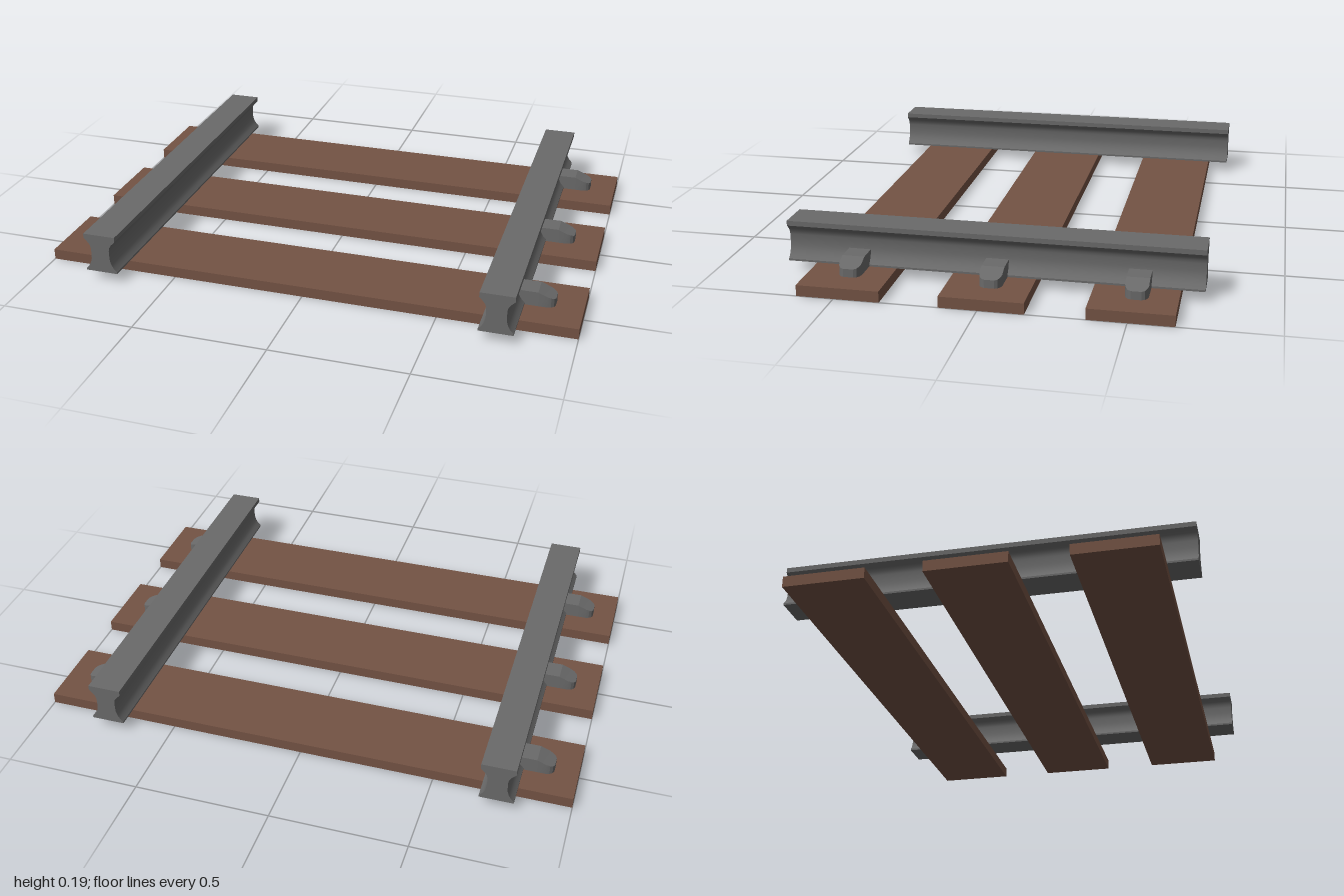
import * as THREE from 'three';
import { toCreasedNormals } from 'three/addons/utils/BufferGeometryUtils.js';

const wood = new THREE.MeshStandardMaterial({ color: 0x745344 });
const steel = new THREE.MeshStandardMaterial({ color: 0x6a6a6a });

function add(parent, name, geometry, material, x, y, z) {
  const mesh = new THREE.Mesh(geometry, material);
  mesh.name = name;
  mesh.position.set(x, y, z);
  parent.add(mesh);
  return mesh;
}

// Rail section: square head, waisted web and flared foot, run along z
function railGeometry(length) {
  const half = [
    [0.062, 0.04], [0.062, 0.047], [0.05, 0.06], [0.042, 0.074], [0.037, 0.09], [0.036, 0.105],
    [0.036, 0.132], [0.039, 0.145], [0.047, 0.157], [0.062, 0.172], [0.062, 0.19],
  ];
  const outline = [...half, ...half.map(([x, y]) => [-x, y]).reverse()];
  const shape = new THREE.Shape(outline.map(([x, y]) => new THREE.Vector2(x, y)));
  const geometry = new THREE.ExtrudeGeometry(shape, { depth: length, bevelEnabled: false });
  geometry.translate(0, 0, -length / 2);
  return toCreasedNormals(geometry, 0.6);
}

// Clip pointing along +x: flat top, then a slope down to a rounded nose
function clipGeometry() {
  // distance from the rail's centre, half width, height
  const sections = [
    [0.02, 0.04, 0.055], [0.108, 0.04, 0.055], [0.142, 0.04, 0.041], [0.155, 0.036, 0.036],
    [0.165, 0.029, 0.032], [0.17, 0.018, 0.03],
  ];
  const n = sections.length - 1;
  const geometry = new THREE.BoxGeometry(1, 1, 1, n, 1, 1);
  const p = geometry.attributes.position;
  for (let i = 0; i < p.count; i++) {
    const [x, halfWidth, height] = sections[Math.round((p.getX(i) + 0.5) * n)];
    p.setXYZ(i, x, p.getY(i) > 0 ? height : 0, Math.sign(p.getZ(i)) * halfWidth);
  }
  return toCreasedNormals(geometry, 0.3);
}

export function createModel() {
  const track = new THREE.Group();
  track.name = 'railwayTrack';

  // Sleepers
  const sleeper = new THREE.BoxGeometry(2, 0.04, 0.293);
  const rows = [-0.51, -0.013, 0.485];
  rows.forEach((z) => add(track, 'sleeper', sleeper, wood, 0, 0.02, z));

  // Rails, each with an outer clip on every sleeper
  const rail = railGeometry(1.475);
  const clip = clipGeometry();
  for (const [side, x] of [['left', 0.73], ['right', -0.744]]) {
    add(track, side + 'Rail', rail, steel, x, 0, 0);
    for (const z of rows) {
      const mesh = add(track, side + 'Clip', clip, steel, x, 0.04, z - 0.006);
      if (x < 0) mesh.rotation.y = Math.PI;
    }
  }
  return track;
}
